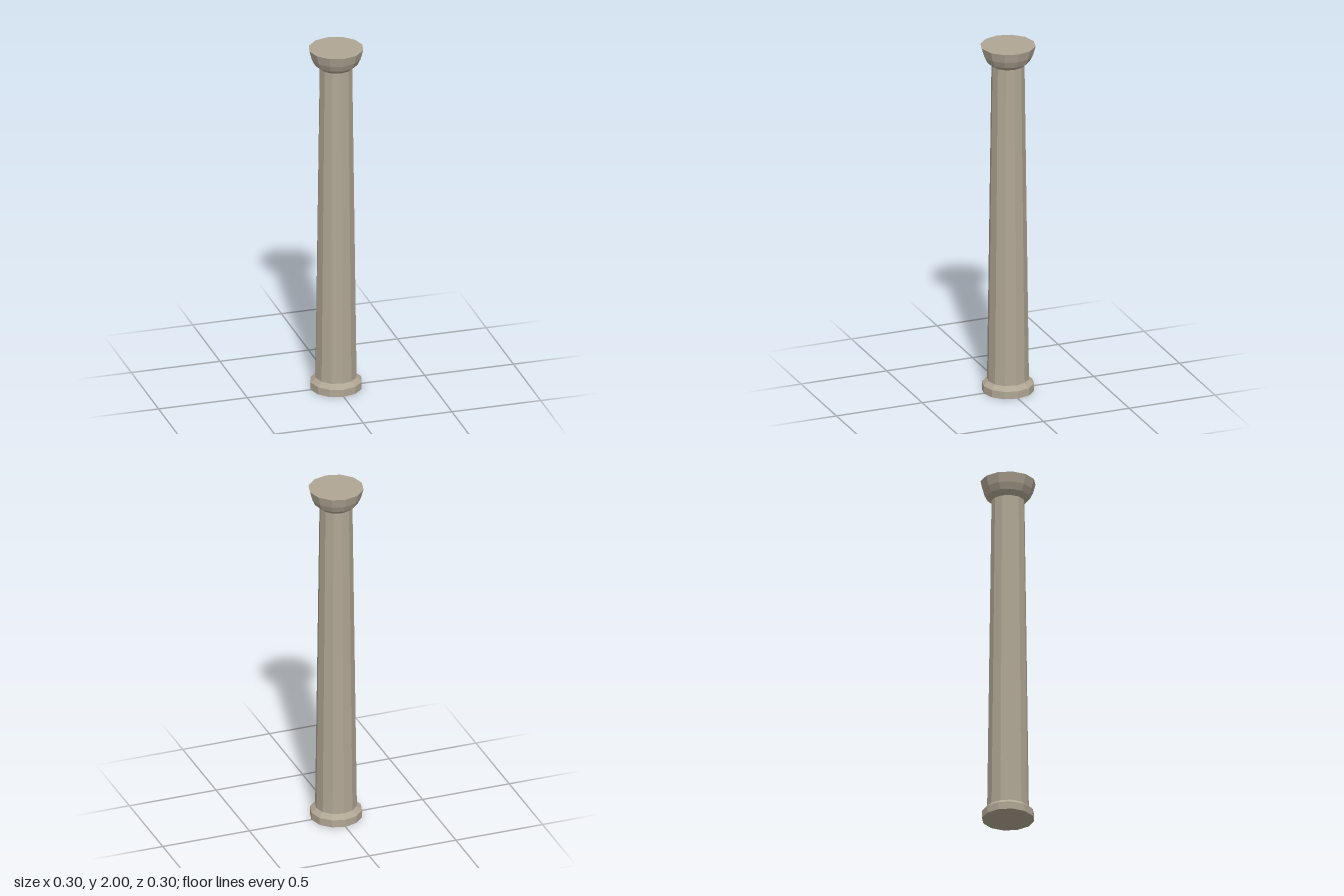
import * as THREE from 'three';

const SIDES = 12;

export function createModel() {
  const column = new THREE.Group();
  column.name = 'column';

  const stone = new THREE.MeshStandardMaterial({ color: 0xb0a694, flatShading: true });
  stone.name = 'stone';

  // Turns a [radius, height] profile, listed from bottom to top, into a faceted part
  const turn = (name, profile) => {
    const points = profile.map(([r, y]) => new THREE.Vector2(r, y));
    const mesh = new THREE.Mesh(new THREE.LatheGeometry(points, SIDES), stone);
    mesh.name = name;
    column.add(mesh);
  };

  // Plinth with a bevelled shoulder
  turn('base', [[0, 0], [0.142, 0], [0.142, 0.042], [0.114, 0.066]]);

  // Tapering shaft
  turn('shaft', [[0.114, 0.066], [0.09, 1.888]]);

  // Flared bowl-shaped capital with a flat top
  turn('capital', [[0.09, 1.888], [0.118, 1.912], [0.136, 1.948], [0.15, 2], [0, 2]]);

  return column;
}
